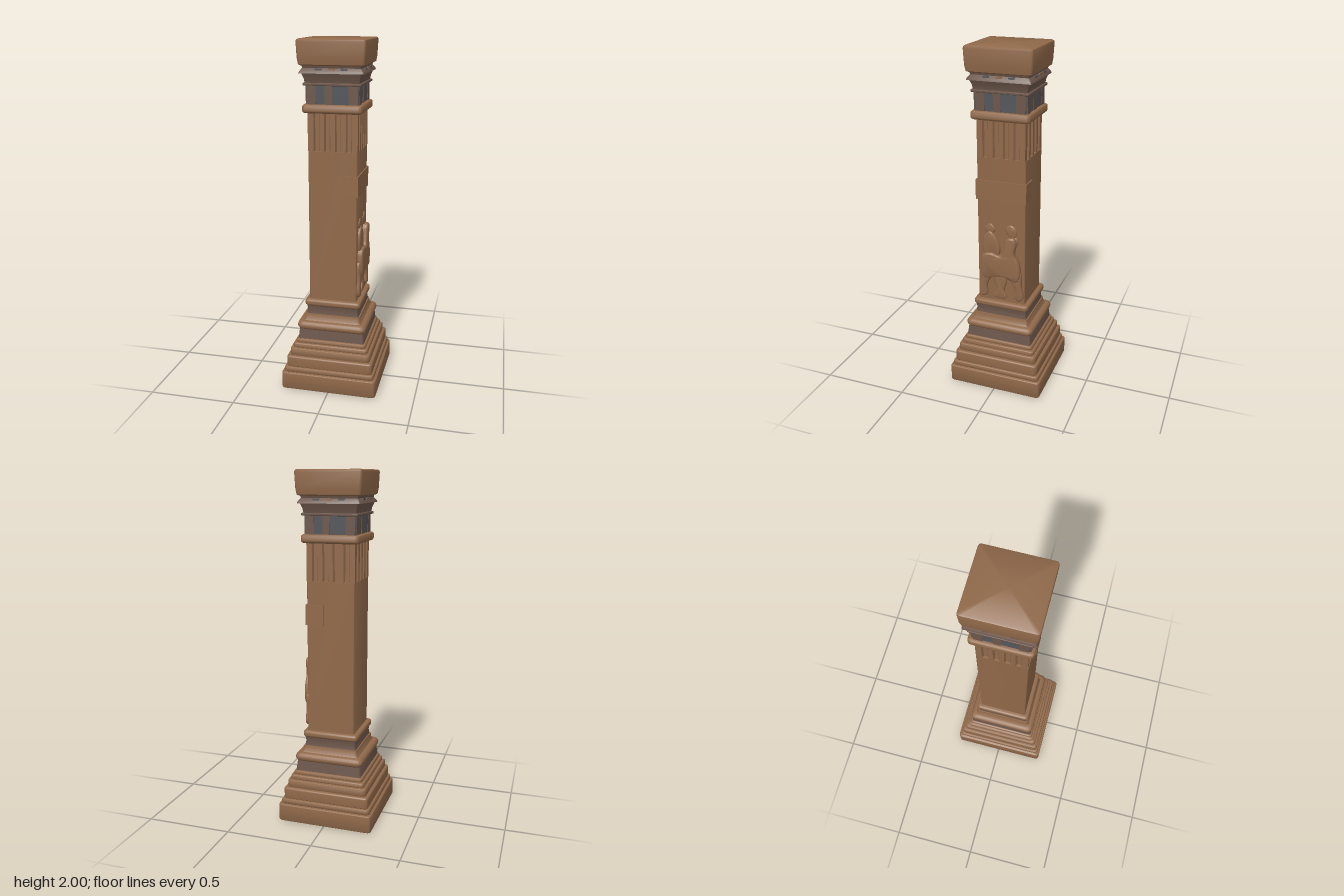
import * as THREE from 'three';
import { toCreasedNormals } from 'three/addons/utils/BufferGeometryUtils.js';

const mat = (name, color) => {
  const m = new THREE.MeshStandardMaterial({ color });
  m.name = name;
  return m;
};

// Square solid with rounded corners, lofted through [halfWidth, y] pairs
function squareLoft(profile, corner = 0.02, extraZ = 0.004) {
  const rings = profile.map(([h, y]) => {
    const ring = [];
    for (let q = 0; q < 4; q++) {
      const mid = (q + 0.5) * Math.PI / 2;
      const sx = Math.sign(Math.cos(mid)), sz = Math.sign(Math.sin(mid));
      for (let i = 0; i <= 4; i++) {
        const a = (q + i / 4) * Math.PI / 2;
        ring.push([
          sx * (h - corner) + corner * Math.cos(a), y,
          sz * (h + extraZ - corner) + corner * Math.sin(a)]);
      }
    }
    return ring;
  });
  const pos = [], n = rings[0].length;
  const tri = (...p) => p.forEach(v => pos.push(...v));
  for (let r = 0; r < rings.length - 1; r++) {
    for (let i = 0; i < n; i++) {
      const j = (i + 1) % n, lo = rings[r], up = rings[r + 1];
      tri(lo[i], up[i], lo[j]);
      tri(lo[j], up[i], up[j]);
    }
  }
  const first = rings[0], last = rings[rings.length - 1];
  for (let i = 0; i < n; i++) {
    const j = (i + 1) % n;
    tri([0, first[0][1], 0], first[i], first[j]);
    tri([0, last[0][1], 0], last[j], last[i]);
  }
  const g = new THREE.BufferGeometry();
  g.setAttribute('position', new THREE.Float32BufferAttribute(pos, 3));
  g.computeVertexNormals();
  return toCreasedNormals(g, 0.7);
}

// Profile of a slab whose outer edge is rounded by r
function slab(h, y0, y1, r = 0.008) {
  const p = [];
  for (let i = 0; i <= 4; i++) {
    const a = -Math.PI / 2 + i * Math.PI / 8;
    p.push([h - r + r * Math.cos(a), y0 + r + r * Math.sin(a)]);
  }
  for (let i = 0; i <= 4; i++) {
    const a = i * Math.PI / 8;
    p.push([h - r + r * Math.cos(a), y1 - r + r * Math.sin(a)]);
  }
  return p;
}

// Square outline with shallow grooves on each side, extruded upward
function flutedShaft(h, y0, y1) {
  const pts = [], depth = 0.014, w = 0.017;
  for (let s = 0; s < 4; s++) {
    const put = (u, d) => pts.push(new THREE.Vector2(h - d, u)
      .rotateAround(new THREE.Vector2(), s * Math.PI / 2));
    put(-h, 0);
    for (const c of [-0.09, -0.03, 0.03, 0.09]) {
      put(c - w, 0); put(c - w * 0.6, depth); put(c + w * 0.6, depth); put(c + w, 0);
    }
  }
  const g = new THREE.ExtrudeGeometry(new THREE.Shape(pts), { depth: y1 - y0, bevelEnabled: false });
  return g.rotateX(-Math.PI / 2).translate(0, y0, 0);
}

// Soft relief cut from a closed outline of [-z, y] points, facing +x
function relief(points, height) {
  const curve = new THREE.CatmullRomCurve3(points.map(([u, y]) => new THREE.Vector3(u, y, 0)), true);
  const shape = new THREE.Shape(curve.getPoints(points.length * 5).map(p => new THREE.Vector2(p.x, p.y)));
  const bevel = 0.01;
  const g = new THREE.ExtrudeGeometry(shape, {
    depth: height, bevelThickness: bevel, bevelSize: bevel, bevelOffset: -bevel, bevelSegments: 4
  });
  g.rotateY(Math.PI / 2).translate(0.135 - bevel, 0, 0);
  return toCreasedNormals(g, 0.8);
}

export function createModel() {
  const root = new THREE.Group();
  root.name = 'carvedPillar';
  const stone = mat('sandstone', 0x90694a);
  const umber = mat('umberStone', 0x6c564b);
  const slate = mat('slateStone', 0x56585c);

  const add = (name, geo, material, parent = root) => {
    const m = new THREE.Mesh(geo, material);
    m.name = name;
    parent.add(m);
    return m;
  };

  // Stepped pedestal
  add('plinth', squareLoft(slab(0.278, 0, 0.105)), stone);
  [[0.265, 0.10, 0.135], [0.253, 0.13, 0.2], [0.236, 0.195, 0.245], [0.221, 0.24, 0.272], [0.207, 0.267, 0.295]]
    .forEach(([h, a, b], i) => add('pedestalStep' + (i + 1), squareLoft(slab(h, a, b, 0.01)), stone));
  add('lowerDarkBand', squareLoft([[0.196, 0.285], [0.188, 0.36]], 0.01), umber);
  add('pedestalTorus', squareLoft(slab(0.202, 0.35, 0.402, 0.025), 0.03), stone);
  add('pedestalCove', squareLoft([[0.175, 0.395], [0.163, 0.415], [0.16, 0.44]], 0.015), stone);
  add('upperDarkBand', squareLoft([[0.154, 0.435], [0.149, 0.465], [0.154, 0.495]], 0.01), umber);
  add('shaftFootMoulding', squareLoft(slab(0.163, 0.49, 0.53, 0.014)), stone);

  // Shaft: plain below, fluted at the top
  add('shaft', squareLoft([[0.138, 0.52], [0.138, 1.4]], 0.008), stone);
  add('flutedShaft', flutedShaft(0.139, 1.4, 1.62), stone);

  // Raised band wrapping from the carved side onto front and back
  const band = new THREE.BoxGeometry(0.105, 0.115, 0.298);
  add('shaftBand', band.translate(0.0925, 1.212, 0), stone);

  // Capital
  add('collar', squareLoft(slab(0.165, 1.61, 1.658, 0.014)), stone);
  add('capitalNeck', squareLoft([[0.143, 1.65], [0.147, 1.765]], 0.008), slate);
  add('capitalFillet', squareLoft(slab(0.16, 1.757, 1.772, 0.005), 0.008), umber);
  add('capitalFlare', squareLoft([[0.15, 1.77], [0.154, 1.795], [0.166, 1.825]], 0.008), umber);
  add('capitalLip', squareLoft([[0.177, 1.822], [0.174, 1.832], [0.16, 1.85], [0.165, 1.872]], 0.008), umber);
  add('abacus', squareLoft([[0.168, 1.862], [0.179, 1.868], [0.184, 1.9], [0.188, 1.985],
    [0.186, 1.995], [0.179, 2.0]], 0.015), stone);

  // Weathered patches on each side of the capital
  for (let s = 0; s < 4; s++) {
    const side = new THREE.Group();
    side.name = 'capitalPatches' + (s + 1);
    side.rotation.y = s * Math.PI / 2;
    root.add(side);
    const out = s % 2 ? 0 : 0.004;
    for (const [x, w] of [[-0.115, 0.05], [-0.02, 0.04], [0.115, 0.05]]) {
      add('neckPatch', new THREE.BoxGeometry(w, 0.1, 0.006).translate(x, 1.708, 0.1445 + out), umber, side);
    }
    for (const x of [-0.07, 0.0, 0.07]) {
      add('lipPatch', new THREE.BoxGeometry(0.035, 0.014, 0.008).translate(x, 1.842, 0.165 + out),
        x ? slate : stone, side);
    }
  }

  // Horse and rider carved on the +x side
  const carving = new THREE.Group();
  carving.name = 'horseAndRiderCarving';
  root.add(carving);
  const parts = {
    horseBody: [0.033, [[-0.115, 0.79], [-0.1, 0.83], [-0.05, 0.84], [0.0, 0.83], [0.02, 0.88], [0.04, 0.94],
      [0.085, 0.945], [0.095, 0.91], [0.085, 0.85], [0.11, 0.8], [0.12, 0.73], [0.1, 0.68], [0.0, 0.7], [-0.1, 0.68]]],
    horseHead: [0.01, [[0.055, 1.02], [0.025, 0.99], [0.04, 0.955], [0.06, 0.925], [0.09, 0.955], [0.09, 1.0]]],
    horseMuzzle: [0.012, [[0.06, 0.94], [0.095, 0.945], [0.1, 0.9], [0.06, 0.89]]],
    riderHead: [0.01, [[-0.065, 1.015], [-0.1, 0.985], [-0.085, 0.955], [-0.05, 0.955], [-0.035, 0.985]]],
    riderTorso: [0.018, [[-0.065, 0.97], [-0.1, 0.94], [-0.11, 0.88], [-0.09, 0.81], [-0.03, 0.8],
      [-0.005, 0.86], [-0.025, 0.93]]],
    hindLeg: [0.022, [[-0.12, 0.76], [-0.125, 0.66], [-0.135, 0.57], [-0.115, 0.552], [-0.085, 0.565],
      [-0.085, 0.63], [-0.055, 0.7], [-0.06, 0.77]]],
    middleLeg: [0.018, [[-0.03, 0.71], [-0.04, 0.66], [-0.025, 0.61], [-0.045, 0.56], [0.0, 0.55],
      [0.035, 0.56], [0.02, 0.61], [0.035, 0.66], [0.025, 0.71]]],
    foreLeg: [0.022, [[0.06, 0.77], [0.055, 0.7], [0.085, 0.63], [0.085, 0.565], [0.11, 0.552],
      [0.135, 0.57], [0.125, 0.65], [0.12, 0.74]]]
  };
  for (const [name, [height, pts]] of Object.entries(parts)) add(name, relief(pts, height), stone, carving);

  return root;
}
